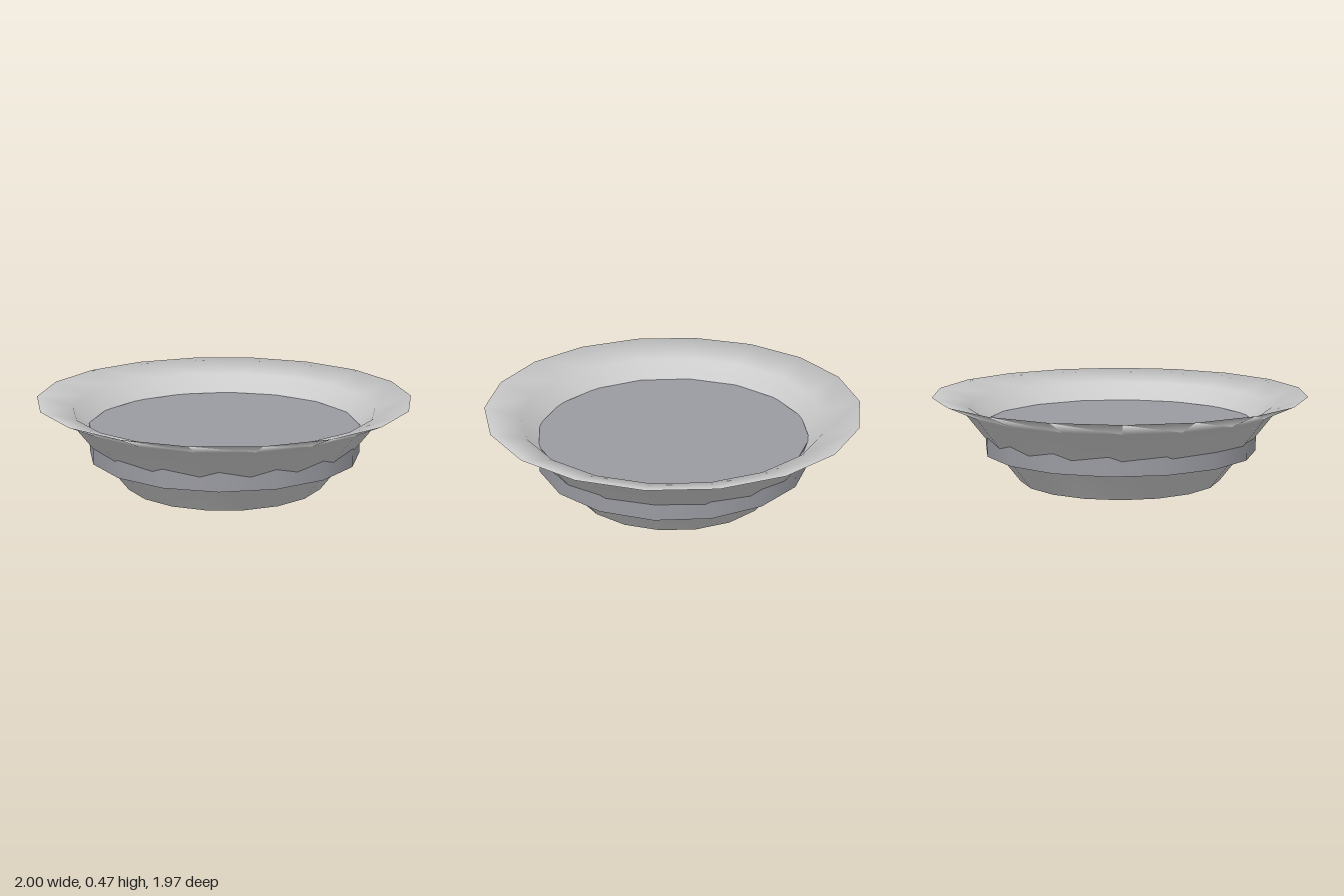
import * as THREE from 'three';

export function createModel() {
  const group = new THREE.Group();
  group.name = 'bowl';

  // Flared shell, open below: up the outside, over the sharp rim, down the inside
  const profile = [
    [0.54, 0], [0.84, 0.39], [1, 0.465], [0.81, 0.405], [0.54, 0.07], [0.54, 0],
  ].map(([r, y]) => new THREE.Vector2(r, y));
  const shell = new THREE.Mesh(
    new THREE.LatheGeometry(profile, 18, Math.PI / 2),
    new THREE.MeshStandardMaterial({ color: 0xcccccc, side: THREE.DoubleSide }),
  );
  shell.name = 'shell';
  group.add(shell);

  // Filling disc, whose edge pokes through the wall as a band
  const bottom = 0.16, top = 0.31;
  const filling = new THREE.Mesh(
    new THREE.CylinderGeometry(0.73, 0.73, top - bottom, 16),
    new THREE.MeshStandardMaterial({ color: 0x9a9ba2 }),
  );
  filling.name = 'filling';
  filling.position.y = (top + bottom) / 2;
  group.add(filling);

  return group;
}
